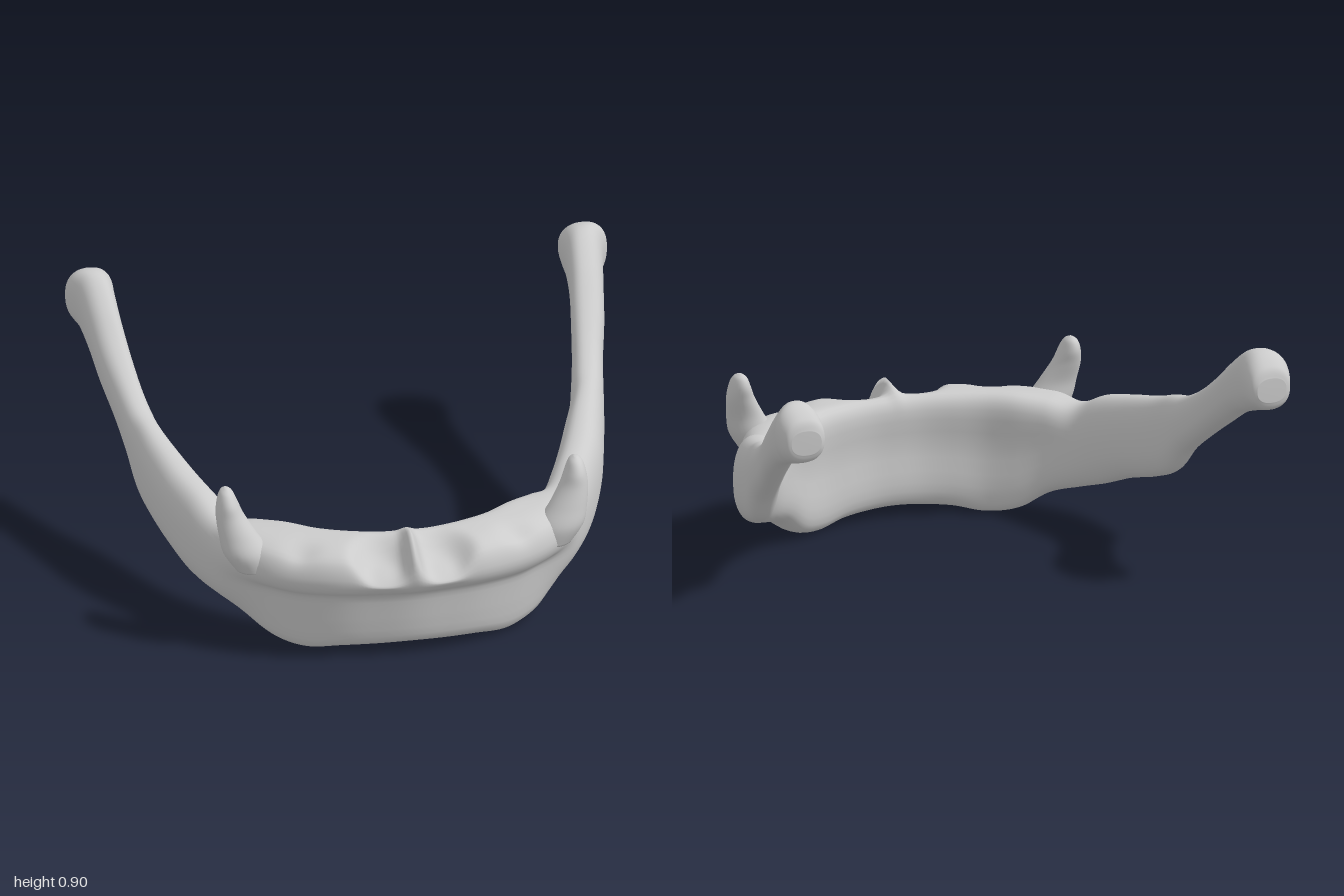
import * as THREE from 'three';

const material = new THREE.MeshStandardMaterial({ color: 0xcccccc });

// Smooth interpolation of rows of numbers; t runs from 0 to rows.length - 1
function spline(rows, t) {
  const last = rows.length - 1;
  const i = Math.min(Math.floor(t), last - 1), f = t - i;
  const [a, b, c, d] = [i - 1, i, i + 1, i + 2].map(k => rows[Math.max(0, Math.min(last, k))]);
  return b.map((_, k) => 0.5 * (2 * b[k] + (c[k] - a[k]) * f
    + (2 * a[k] - 5 * b[k] + 4 * c[k] - d[k]) * f * f
    + (3 * b[k] - a[k] - 3 * c[k] + d[k]) * f * f * f));
}

// Skin over closed rings of [x, y, z] points, with a fan closing each end
function loft(rings) {
  const n = rings[0].length, pos = rings.flat(2), index = [];
  for (let i = 0; i < rings.length - 1; i++) {
    for (let j = 0; j < n; j++) {
      const a = i * n + j, b = i * n + (j + 1) % n;
      index.push(a, b, b + n, a, b + n, a + n);
    }
  }
  [0, rings.length - 1].forEach((r, end) => {
    const mid = [0, 1, 2].map(k => rings[r].reduce((s, p) => s + p[k], 0) / n);
    const m = pos.length / 3;
    pos.push(...mid);
    for (let j = 0; j < n; j++) {
      const a = r * n + j, b = r * n + (j + 1) % n;
      if (end) index.push(m, a, b); else index.push(m, b, a);
    }
  });
  const g = new THREE.BufferGeometry();
  g.setAttribute('position', new THREE.Float32BufferAttribute(pos, 3));
  g.setIndex(index);
  g.computeVertexNormals();
  return g;
}

// Midline to rear knob: inner x, z, outer x, z, bottom y, top y, lip amount
const half = [
  [0, 0.56, 0, 0.81, 0.035, 0.455, 1],
  [0.1, 0.555, 0.13, 0.795, 0.03, 0.455, 1],
  [0.2, 0.53, 0.28, 0.765, 0.02, 0.455, 1],
  [0.3, 0.49, 0.43, 0.70, 0.0, 0.455, 1],
  [0.4, 0.42, 0.54, 0.63, 0.02, 0.455, 0.95],
  [0.48, 0.36, 0.63, 0.53, 0.08, 0.45, 0.6],
  [0.55, 0.29, 0.69, 0.40, 0.115, 0.435, 0.15],
  [0.6, 0.21, 0.76, 0.27, 0.15, 0.485, 0],
  [0.65, 0.1, 0.815, 0.13, 0.2, 0.515, 0],
  [0.7, -0.03, 0.85, -0.02, 0.24, 0.545, 0],
  [0.74, -0.13, 0.87, -0.12, 0.285, 0.575, 0],
  [0.765, -0.22, 0.885, -0.21, 0.38, 0.595, 0],
  [0.79, -0.33, 0.905, -0.33, 0.465, 0.65, 0],
  [0.81, -0.45, 0.935, -0.46, 0.55, 0.735, 0],
  [0.825, -0.56, 0.955, -0.58, 0.62, 0.825, 0],
  [0.83, -0.67, 0.975, -0.69, 0.66, 0.895, 0],
  [0.825, -0.75, 1.0, -0.75, 0.68, 0.9, 0],
  [0.83, -0.81, 0.985, -0.81, 0.7, 0.86, 0],
  [0.85, -0.83, 0.965, -0.825, 0.73, 0.82, 0],
];
const mirrorRow = ([a, b, c, ...rest]) => [-a, b, -c, ...rest];
const stations = [...half.slice(1).reverse().map(mirrorRow), ...half];

// Front section: overhanging lip above a recessed chin (u inner to outer, v up)
const lipProfile = [
  [0.1, 0.04], [0.02, 0.22], [0.05, 0.55], [0, 0.86], [0.12, 0.99],
  [0.4, 1], [0.7, 0.98], [0.92, 0.91], [1, 0.76], [0.93, 0.64],
  [0.77, 0.56], [0.72, 0.42], [0.68, 0.25], [0.6, 0.06], [0.35, 0],
];
// Rear section: squarish oval
const soften = c => 0.5 + 0.5 * Math.sign(c) * Math.abs(c) ** 0.85;
const ovalProfile = lipProfile.map((_, i) => {
  const a = THREE.MathUtils.degToRad(225 - 24 * i);
  return [soften(Math.cos(a)), soften(Math.sin(a))];
});
// Sample a closed profile evenly
function sample(profile, count) {
  const curve = new THREE.CatmullRomCurve3(
    profile.map(([u, v]) => new THREE.Vector3(u, v, 0)), true, 'catmullrom', 0.5);
  return Array.from({ length: count }, (_, i) => curve.getPoint(i / count));
}

// Two scoops beside a small pointed crest on the front top
function sculpt([x, y, z]) {
  const ax = Math.abs(x);
  const high = THREE.MathUtils.smoothstep(y, 0.3, 0.44);
  const r = ((ax - 0.11) / 0.1) ** 2 + ((z - 0.75) / 0.11) ** 2;
  const scoop = 0.075 * Math.exp(-r * r);
  const crest = 0.055 * Math.exp(-((x / 0.024) ** 2) - ((z - 0.71) / 0.09) ** 2);
  const dimple = 0.02 * Math.exp(-(((ax - 0.4) / 0.06) ** 2) - ((z - 0.66) / 0.05) ** 2);
  const point = 0.02 * Math.exp(-((x / 0.025) ** 2)) * (z > 0.7 ? high : 0);
  return [x, y + high * (crest - scoop - dimple), z + point * THREE.MathUtils.smoothstep(z, 0.7, 0.8)];
}

function archGeometry() {
  const count = 44, steps = (stations.length - 1) * 10;
  const lip = sample(lipProfile, count), oval = sample(ovalProfile, count);
  const rings = [];
  for (let i = 0; i <= steps; i++) {
    const [ix, iz, ox, oz, bottom, top, w] = spline(stations, i / 10);
    rings.push(lip.map((p, j) => {
      const q = oval[j].clone().lerp(p, w);
      return sculpt([ix + (ox - ix) * q.x, bottom + (top - bottom) * q.y, iz + (oz - iz) * q.x]);
    }));
  }
  return loft(rings);
}

// Upright horn: centre x, y, z, radius in x, radius in z
const hornRows = [
  [0.55, 0.33, 0.55, 0.07, 0.06],
  [0.58, 0.4, 0.55, 0.085, 0.07],
  [0.61, 0.47, 0.54, 0.07, 0.06],
  [0.635, 0.54, 0.52, 0.052, 0.058],
  [0.643, 0.59, 0.508, 0.038, 0.058],
  [0.645, 0.625, 0.5, 0.024, 0.04],
  [0.645, 0.64, 0.497, 0.006, 0.01],
];
function hornGeometry(side) {
  const rings = [];
  for (let i = 0; i <= 36; i++) {
    const [x, y, z, rx, rz] = spline(hornRows, i / 6);
    rings.push(Array.from({ length: 24 }, (_, j) => {
      const a = (j / 24) * Math.PI * 2;
      return [side * x + rx * Math.cos(a), y, z - rz * Math.sin(a)];
    }));
  }
  return loft(rings);
}

export function createModel() {
  const group = new THREE.Group();
  group.name = 'lowerJaw';
  const add = (name, geometry) => {
    const mesh = new THREE.Mesh(geometry, material);
    mesh.name = name;
    group.add(mesh);
  };
  add('jawArch', archGeometry());
  add('leftHorn', hornGeometry(1));
  add('rightHorn', hornGeometry(-1));
  return group;
}
